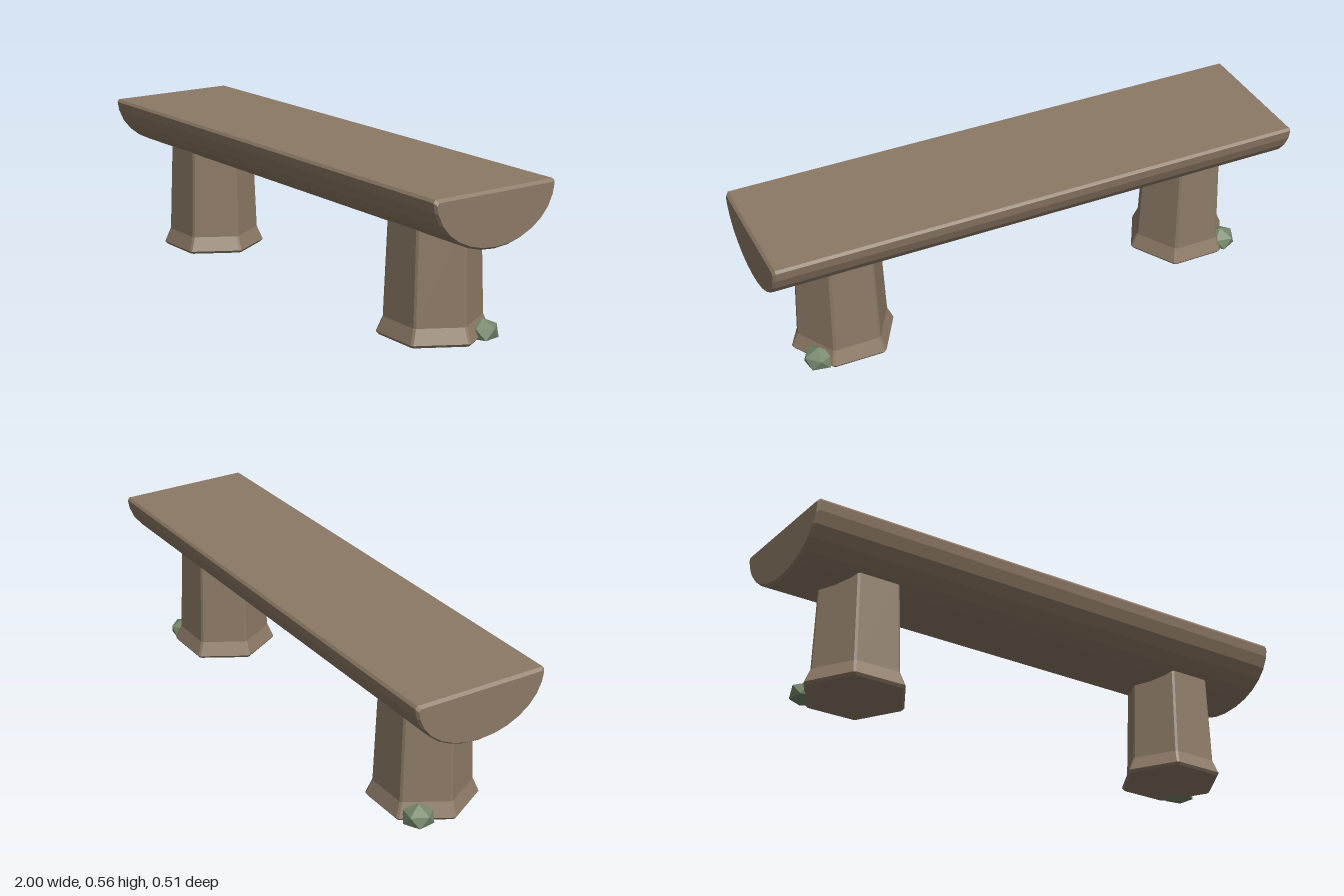
import * as THREE from 'three';

// Flat-shaded solid through a list of equal-length rings, closed at both ends.
// Rings run along an axis; points run counter-clockwise about that axis.
function loft(rings) {
  const pos = [];
  const tri = (a, b, c) => pos.push(...a, ...b, ...c);
  const n = rings[0].length;
  for (let r = 0; r < rings.length - 1; r++) {
    const a = rings[r], b = rings[r + 1];
    for (let i = 0; i < n; i++) {
      const j = (i + 1) % n;
      tri(a[i], a[j], b[j]);
      tri(a[i], b[j], b[i]);
    }
  }
  const first = rings[0], last = rings[rings.length - 1];
  for (let i = 1; i < n - 1; i++) {
    tri(first[0], first[i + 1], first[i]);
    tri(last[0], last[i], last[i + 1]);
  }
  const geo = new THREE.BufferGeometry();
  geo.setAttribute('position', new THREE.Float32BufferAttribute(pos, 3));
  geo.computeVertexNormals();
  return geo;
}

// Half-log seat with chamfered top edges and ends
function seatGeometry() {
  const section = [[0.563, 0.248], [0.553, 0.255]];
  const steps = 14;
  for (let k = 1; k < steps; k++) {
    const a = (k * Math.PI) / steps;
    section.push([0.563 - 0.198 * Math.sin(a), 0.255 * Math.cos(a)]);
  }
  section.push([0.553, -0.255], [0.563, -0.248]);
  const full = (x) => section.map(([y, z]) => [x, y, z]);
  const inset = (x) => section.map(([y, z]) => [x, 0.373 + (y - 0.365) * 0.91, z * 0.967]);
  return loft([inset(-1), full(-0.99), full(0.99), inset(1)]);
}

// Hexagonal leg with narrow chamfers on its corners and a flared foot
function legGeometry() {
  const ring = (y, flat) => {
    const r = flat / Math.cos(Math.PI / 6) - 0.003;
    const pts = [];
    for (let i = 0; i < 6; i++) {
      const a = (i * Math.PI) / 3;
      for (const t of [-0.005, 0.005]) {
        pts.push([r * Math.cos(a) - t * Math.sin(a), y, -(r * Math.sin(a) + t * Math.cos(a))]);
      }
    }
    return pts;
  };
  return loft([ring(0, 0.164), ring(0.01, 0.171), ring(0.063, 0.151), ring(0.42, 0.139)]);
}

// Squashed icosahedron with a point up and its underside flattened to the ground
function mossGeometry() {
  const geo = new THREE.IcosahedronGeometry(1, 0);
  geo.rotateZ(-Math.atan(2 / (1 + Math.sqrt(5))));
  geo.rotateY(0.14);
  geo.scale(0.061, 0.046, 0.062);
  geo.translate(0, 0.018, 0);
  const p = geo.attributes.position;
  for (let i = 0; i < p.count; i++) p.setY(i, Math.max(0, p.getY(i)));
  geo.computeVertexNormals();
  return geo;
}

export function createModel() {
  const wood = new THREE.MeshStandardMaterial({ color: 0x8c7965, flatShading: true });
  wood.name = 'weathered brown';
  const green = new THREE.MeshStandardMaterial({ color: 0x74866a, flatShading: true });
  green.name = 'moss green';

  const model = new THREE.Group();
  model.name = 'bench';
  const add = (name, geo, mat) => {
    const mesh = new THREE.Mesh(geo, mat);
    mesh.name = name;
    model.add(mesh);
    return mesh;
  };

  add('seat', seatGeometry(), wood);

  const leg = legGeometry();
  const moss = mossGeometry();
  for (const [side, s] of [['left', 1], ['right', -1]]) {
    add(side + 'Leg', leg, wood).position.x = s * 0.69;
    // Moss clump at the outer back corner of each foot
    const clump = add(side + 'MossClump', moss, green);
    clump.position.set(s * 0.822, 0, -0.108);
    if (s < 0) clump.rotation.y = Math.PI;
  }
  return model;
}
